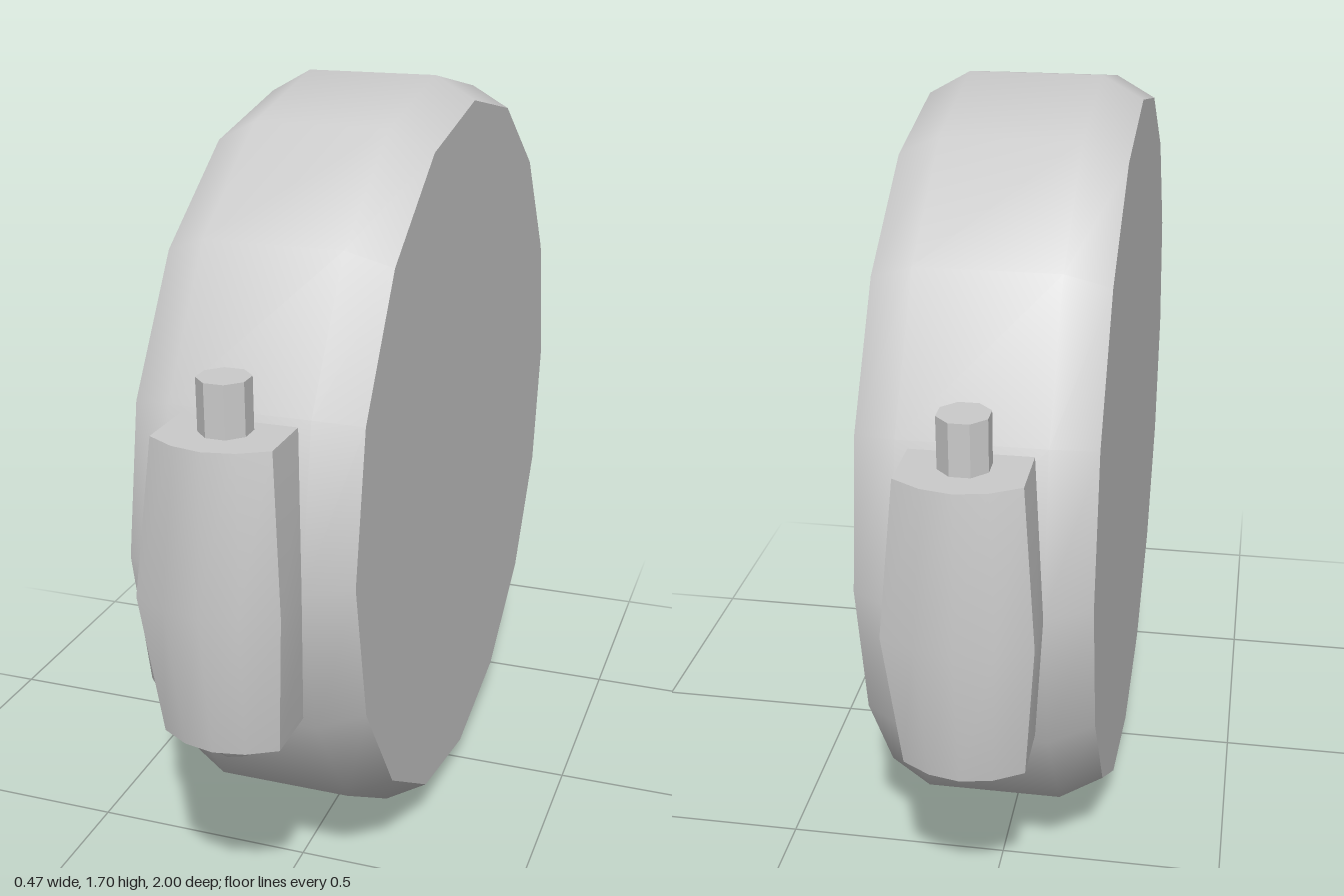
import * as THREE from 'three';
import { mergeGeometries } from 'three/addons/utils/BufferGeometryUtils.js';

const CENTER_Y = 0.85;
const material = new THREE.MeshStandardMaterial({ color: 0xcccccc });
const flatMaterial = new THREE.MeshStandardMaterial({ color: 0xcccccc, flatShading: true });

function add(parent, name, geometry, mat = material) {
  const mesh = new THREE.Mesh(geometry, mat);
  mesh.name = name;
  parent.add(mesh);
  return mesh;
}

// Smooth sheet through rows of points: rows run upwards, columns to the right
function sheet(rows) {
  const n = rows[0].length, index = [];
  for (let i = 0; i < rows.length - 1; i++) {
    for (let j = 0; j < n - 1; j++) {
      const a = i * n + j, b = a + 1, c = b + n, d = a + n;
      index.push(a, b, c, a, c, d);
    }
  }
  const g = new THREE.BufferGeometry();
  g.setAttribute('position', new THREE.Float32BufferAttribute(rows.flat(2), 3));
  g.setIndex(index);
  g.computeVertexNormals();
  return g;
}

// Bulging casing: rounded outer face, flat sides, ends and back
function podGeometry() {
  const sections = [
    { y: 0.545, w: 0.12, corner: 0.915, front: 0.96, back: 0.74 },
    { y: CENTER_Y, w: 0.145, corner: 0.955, front: 1.0, back: 0.78 },
    { y: 1.16, w: 0.12, corner: 0.915, front: 0.96, back: 0.74 },
  ];
  const steps = [-1, -0.52, 0, 0.52, 1];
  const arcs = sections.map(s => steps.map(t =>
    [t * s.w, s.y, s.front - (s.front - s.corner) * t * t]));
  const backs = sections.map(s => steps.map(t => [t * s.w, s.y, s.back]));
  return mergeGeometries([
    sheet(arcs),
    sheet(arcs.map((a, i) => [a[4], backs[i][4]])),
    sheet(arcs.map((a, i) => [backs[i][0], a[0]])),
    sheet(backs.map(b => [b[4], b[0]])),
    sheet([arcs[2], backs[2]]),
    sheet([backs[0], arcs[0]]),
  ]);
}

export function createModel() {
  const model = new THREE.Group();
  model.name = 'discWithPods';

  // Main disc: 16-sided rim with bevelled edges, closed by flat faces
  const disc = new THREE.Group();
  disc.name = 'disc';
  disc.position.y = CENTER_Y;
  model.add(disc);
  const profile = [[0.8, -0.235], [0.85, -0.145], [0.85, 0.145], [0.8, 0.235]]
    .map(([r, h]) => new THREE.Vector2(r, h));
  add(disc, 'rim', new THREE.LatheGeometry(profile, 16).rotateZ(-Math.PI / 2));
  for (const side of [1, -1]) {
    const face = add(disc, side > 0 ? 'leftFace' : 'rightFace', new THREE.CircleGeometry(0.8, 16));
    face.rotation.y = side * Math.PI / 2;
    face.position.x = side * 0.235;
  }

  // Matching pods on the front and back of the rim
  for (const name of ['frontPod', 'backPod']) {
    const pod = new THREE.Group();
    pod.name = name;
    if (name === 'backPod') pod.rotation.y = Math.PI;
    add(pod, 'casing', podGeometry());
    const stub = add(pod, 'topStub', new THREE.CylinderGeometry(0.052, 0.052, 0.125, 8), flatMaterial);
    stub.position.set(0, 1.2025, 0.845);
    stub.rotation.y = Math.PI / 8;
    const dome = add(pod, 'bottomDome',
      new THREE.SphereGeometry(0.07, 8, 2, 0, Math.PI * 2, Math.PI / 2, Math.PI / 2));
    dome.position.set(0, 0.545, 0.845);
    model.add(pod);
  }
  return model;
}
